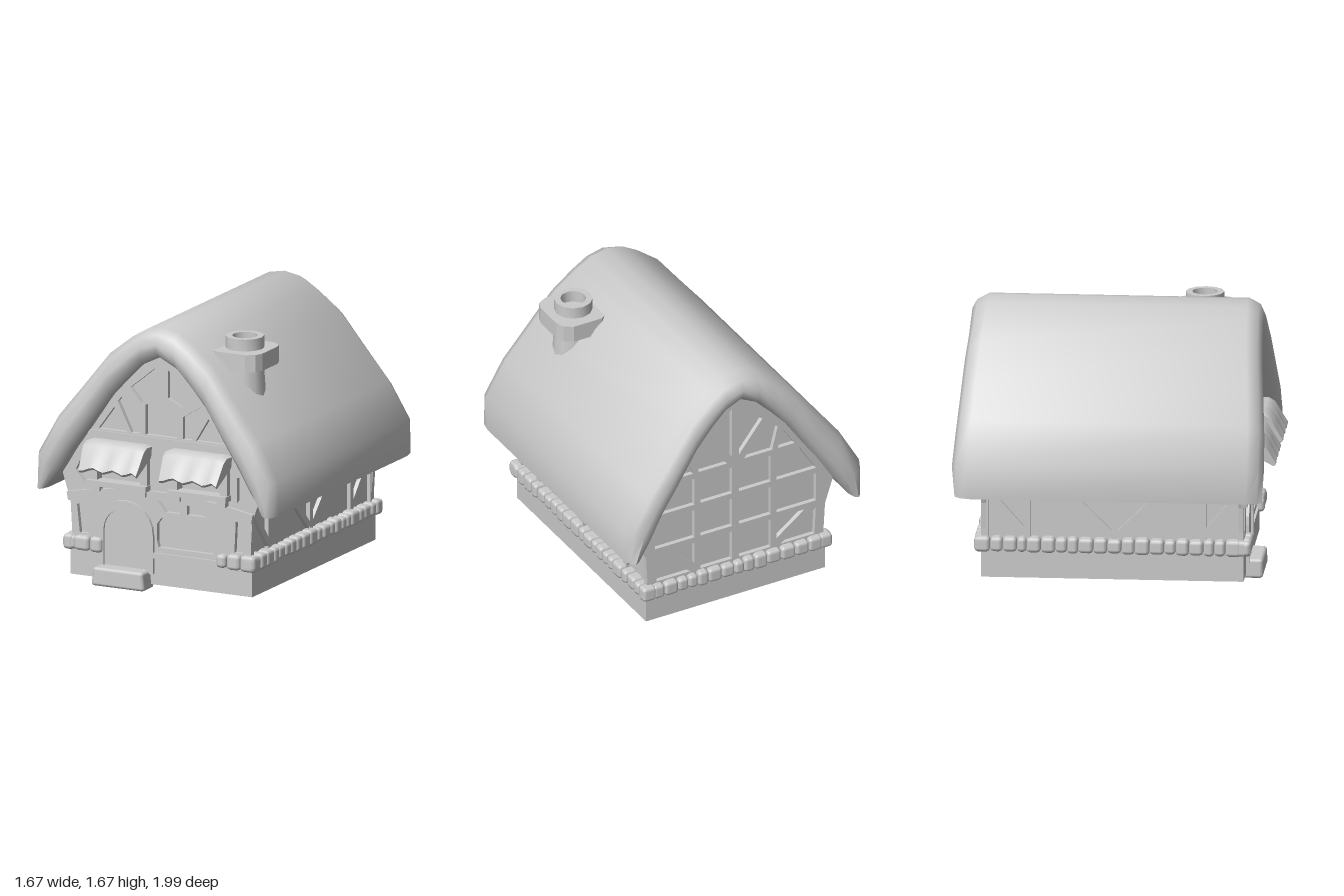
import * as THREE from 'three';
import { toCreasedNormals } from 'three/addons/utils/BufferGeometryUtils.js';
import { RoundedBoxGeometry } from 'three/addons/geometries/RoundedBoxGeometry.js';

const mat = new THREE.MeshStandardMaterial({ color: 0xcccccc });
const thin = new THREE.MeshStandardMaterial({ color: 0xcccccc, side: THREE.DoubleSide });
const vecs = (pts) => pts.map(([x, y]) => new THREE.Vector2(x, y));
const mirror = (pts) => pts.map(([x, y]) => [-x, y]).reverse();

function add(parent, name, geo, x = 0, y = 0, z = 0, material = mat) {
  const m = new THREE.Mesh(geo, material);
  m.name = name;
  m.position.set(x, y, z);
  parent.add(m);
  return m;
}
const box = (parent, name, w, h, d, x, y, z) => add(parent, name, new THREE.BoxGeometry(w, h, d), x, y, z);

// Flat plate with polygon openings, extruded along z
function plate(outline, holes, depth) {
  const s = new THREE.Shape(vecs(outline));
  for (const h of holes) s.holes.push(new THREE.Path(vecs(h)));
  return new THREE.ExtrudeGeometry(s, { depth, bevelEnabled: false, curveSegments: 12 });
}

// Round-headed outline around cx
function arch(cx, r, y0, ySpring, n = 12) {
  const pts = [[cx - r, y0], [cx + r, y0]];
  for (let i = 0; i <= n; i++) {
    const a = (Math.PI * i) / n;
    pts.push([cx + r * Math.cos(a), ySpring + r * Math.sin(a)]);
  }
  return pts;
}

// Thick thatched roof: a rounded closed section swept along the arch
function roofGeometry() {
  // outer x, y, inner x, y, front z, back z
  const half = [
    [0, 1.67, 0, 1.49, 0.88, -0.93], [0.11, 1.65, 0.12, 1.43, 0.88, -0.93],
    [0.21, 1.59, 0.22, 1.33, 0.885, -0.935], [0.36, 1.47, 0.33, 1.21, 0.895, -0.95],
    [0.54, 1.24, 0.48, 0.99, 0.915, -0.97], [0.7, 1.04, 0.58, 0.85, 0.93, -0.985],
    [0.835, 0.8, 0.66, 0.72, 0.935, -1.0], [0.83, 0.575, 0.75, 0.585, 0.925, -0.98],
  ];
  const rows = [...half.slice(1).reverse().map(([a, b, c, ...r]) => [-a, b, -c, ...r]), ...half];
  // thickness fraction, inset from the gable edge, front or back
  const section = [[0, 0.06, 4], [0.2, 0.01, 4], [0.5, 0, 4], [0.82, 0.03, 4], [1, 0.1, 4],
    [1, 0.1, 5], [0.82, 0.03, 5], [0.5, 0, 5], [0.2, 0.01, 5], [0, 0.06, 5]];
  const pos = [], idx = [], n = section.length, last = (rows.length - 1) * n;
  for (const r of rows) {
    for (const [t, inset, k] of section) {
      pos.push(r[2] + (r[0] - r[2]) * t, r[3] + (r[1] - r[3]) * t, r[k] - Math.sign(r[k]) * inset);
    }
  }
  for (let i = 0; i < rows.length - 1; i++) {
    for (let j = 0; j < n; j++) {
      const a = i * n + j, b = i * n + ((j + 1) % n);
      idx.push(a, a + n, b, a + n, b + n, b);
    }
  }
  for (let j = 1; j < n - 1; j++) idx.push(0, j, j + 1, last, last + j + 1, last + j);
  const g = new THREE.BufferGeometry();
  g.setAttribute('position', new THREE.Float32BufferAttribute(pos, 3));
  g.setIndex(idx);
  return toCreasedNormals(g, 0.9);
}

// Drooping thatch awning with a ragged lower edge
function awningGeometry(w) {
  const prof = [[0.78, 0.92], [0.87, 0.925], [0.91, 0.9], [0.945, 0.84], [0.99, 0.765], [0.975, 0.75], [0.9, 0.79], [0.78, 0.86]];
  const s = new THREE.Shape(vecs(prof.map(([z, y]) => [-z, y])));
  const g = new THREE.ExtrudeGeometry(s, { depth: w, steps: 12, bevelEnabled: false });
  g.rotateY(Math.PI / 2).translate(-w / 2, 0, 0);
  const p = g.attributes.position;
  for (let i = 0; i < p.count; i++) {
    const x = p.getX(i), y = p.getY(i), low = THREE.MathUtils.clamp((0.93 - y) / 0.17, 0, 1);
    p.setY(i, y + 0.012 * low * Math.sin(x * 42) - 0.4 * Math.max(0, Math.abs(x) - w * 0.42));
    p.setX(i, x * (1 - 0.07 * low));
  }
  return toCreasedNormals(g, 0.8);
}

export function createModel() {
  const house = new THREE.Group();
  house.name = 'cottage';
  let seed = 7;
  const rand = () => (seed = (seed * 16807) % 2147483647) / 2147483647;

  add(house, 'thatchedRoof', roofGeometry());

  // Hollow foundation
  const rect = (x0, y0, x1, y1) => [[x0, y0], [x1, y0], [x1, y1], [x0, y1]];
  const base = plate(rect(-0.635, -0.8, 0.635, 0.828), [rect(-0.615, -0.78, 0.615, 0.808)], 0.21);
  add(house, 'foundation', base.rotateX(-Math.PI / 2), 0, 0.03, 0);

  // Gable walls: backing sheet plus timber frame with recessed panels
  const right = [[0.62, 0.24], [0.635, 0.5], [0.69, 0.67], [0.62, 0.82], [0.5, 1.0], [0.34, 1.23], [0.13, 1.45]];
  const gable = [...right, [0, 1.51], ...mirror(right)];
  const both = (list) => [...list, ...list.map(mirror)];
  const sheet = new THREE.ShapeGeometry(new THREE.Shape(vecs(gable)));
  const door = arch(-0.25, 0.145, 0.25, 0.345);
  const frontHoles = [
    ...both([
      [[0.045, 1.41], [0.215, 1.27], [0.14, 1.18], [0.045, 1.23]],
      [[0.15, 0.98], [0.21, 0.98], [0.305, 1.17], [0.28, 1.2], [0.15, 1.12]],
      [[0.24, 0.98], [0.44, 0.98], [0.33, 1.13]],
      rect(0.13, 0.66, 0.43, 0.84),
      [[0.53, 0.62], [0.6, 0.7], [0.56, 0.78], [0.53, 0.78]],
      [[0.51, 0.3], [0.57, 0.3], [0.59, 0.48], [0.52, 0.5]],
    ]),
    [[-0.11, 0.98], [0.11, 0.98], [0.11, 1.17], [0, 1.22], [-0.11, 1.17]],
    [[-0.03, 0.31], [-0.02, 0.27], [0.36, 0.27], [0.39, 0.42], [0.36, 0.46], [0, 0.46], [-0.03, 0.42]],
    [[0.03, 0.5], [0.13, 0.5], [0.13, 0.57], [-0.03, 0.57]],
    [[0.18, 0.5], [0.3, 0.5], [0.34, 0.56], [0.18, 0.57]],
    door,
  ];
  const backHoles = both([
    rect(0.025, 0.3, 0.25, 0.5), rect(0.025, 0.54, 0.25, 0.74), rect(0.025, 0.78, 0.25, 0.97),
    rect(0.29, 0.54, 0.57, 0.74), [[0.29, 0.78], [0.57, 0.78], [0.45, 0.97], [0.29, 0.97]],
    [[0.29, 0.35], [0.49, 0.5], [0.29, 0.5]], [[0.32, 0.3], [0.56, 0.3], [0.57, 0.49]],
    [[0.025, 1.05], [0.19, 1.26], [0.025, 1.4]], [[0.06, 1.01], [0.26, 1.01], [0.3, 1.17], [0.23, 1.22]],
    [[0.3, 1.01], [0.42, 1.01], [0.34, 1.13]],
  ]);
  for (const [name, holes, z, turn] of [['front', frontHoles, 0.8, 0], ['back', backHoles, -0.828, Math.PI]]) {
    const wall = new THREE.Group();
    wall.name = name + 'Wall';
    wall.position.z = z;
    wall.rotation.y = turn;
    house.add(wall);
    add(wall, name + 'Infill', sheet, 0, 0, -0.03, thin);
    add(wall, name + 'TimberFrame', plate(gable, holes, 0.03), 0, 0, -0.03);
  }

  // Arched tie beam and low rail on the front
  const curve = [], under = [];
  for (let i = 0; i <= 12; i++) {
    const x = -0.65 + (1.3 * i) / 12, y = 0.63 - 0.17 * x * x;
    curve.push([x, y]);
    under.unshift([x * 0.985, y - 0.055]);
  }
  add(house, 'archedBeam', plate([...curve, ...under].reverse(), [], 0.04), 0, 0, 0.785);
  box(house, 'lowRail', 0.48, 0.035, 0.03, 0.16, 0.218, 0.8);
  box(house, 'tieBeam', 1.02, 0.05, 0.02, 0, 0.945, 0.8);

  // Door, surround and step
  add(house, 'door', plate(arch(-0.25, 0.15, 0.1, 0.345), [], 0.02), 0, 0, 0.785);
  add(house, 'doorSurround', plate(arch(-0.25, 0.2, 0.1, 0.345), [arch(-0.25, 0.145, 0.101, 0.345)], 0.035), 0, 0, 0.785);
  const step = new RoundedBoxGeometry(0.37, 0.12, 0.15, 1, 0.02);
  const sp = step.attributes.position;
  for (let i = 0; i < sp.count; i++) if (sp.getY(i) > 0) sp.setX(i, sp.getX(i) * 0.95);
  add(house, 'doorStep', step, -0.255, 0.06, 0.83);

  // Windows with posts, sill, brackets and awning
  for (const s of [-1, 1]) {
    const w = new THREE.Group();
    w.name = s > 0 ? 'leftWindow' : 'rightWindow';
    w.position.x = s * 0.28;
    house.add(w);
    add(w, 'awning', awningGeometry(0.43));
    box(w, 'sill', 0.41, 0.035, 0.08, 0, 0.645, 0.83);
    for (const e of [-1, 1]) {
      box(w, 'windowPost', 0.05, 0.24, 0.05, e * 0.175, 0.76, 0.815);
      box(w, 'sillBracket', 0.06, 0.04, 0.05, e * 0.16, 0.61, 0.82);
    }
  }

  // Side walls with posts and diagonal braces, given as (z, y) pairs
  const braces = [[0.77, 0.58, 0.55, 0.31], [0.29, 0.58, 0.02, 0.31], [-0.29, 0.58, -0.02, 0.31], [-0.79, 0.58, -0.55, 0.31]];
  const posts = [0.78, 0.55, 0, -0.54, -0.805].map((z) => [z, 0.62, z, 0.22]);
  for (const s of [-1, 1]) {
    const wall = add(house, 'sideInfill', new THREE.PlaneGeometry(1.6, 0.54), s * 0.6, 0.5, -0.014, thin);
    wall.rotation.y = (s * Math.PI) / 2;
    box(house, 'wallPlate', 0.035, 0.06, 1.62, s * 0.608, 0.61, -0.014);
    for (const [z0, y0, z1, y1] of [...posts, ...braces]) {
      const b = box(house, 'sideTimber', 0.035, Math.hypot(z1 - z0, y1 - y0), 0.04, s * 0.608, (y0 + y1) / 2, (z0 + z1) / 2);
      b.rotation.x = Math.atan2(z0 - z1, y0 - y1);
    }
  }

  // Courses of rounded stones; the front has them at the corners only
  function stones(count, x0, z0, x1, z1) {
    const alongX = Math.abs(x1 - x0) > Math.abs(z1 - z0);
    const sizes = Array.from({ length: count }, () => 0.75 + 0.6 * rand());
    const total = sizes.reduce((a, b) => a + b, 0);
    const len = Math.hypot(x1 - x0, z1 - z0);
    let at = 0;
    for (const size of sizes) {
      const w = (size / total) * len, t = (at + w / 2) / len, d = 0.085 + 0.015 * rand();
      const g = new RoundedBoxGeometry(alongX ? w : d, 0.085 + 0.02 * rand(), alongX ? d : w, 1, 0.024);
      add(house, 'foundationStone', g, x0 + (x1 - x0) * t, 0.243, z0 + (z1 - z0) * t);
      at += w;
    }
  }
  for (const s of [-1, 1]) {
    stones(21, s * 0.625, 0.845, s * 0.625, -0.87);
    stones(3, s * 0.67, 0.8, s * 0.4, 0.8);
  }
  stones(14, -0.6, -0.825, 0.6, -0.825);

  // Chimney
  const chimney = new THREE.Group();
  chimney.name = 'chimney';
  chimney.position.set(0.415, 0, 0.48);
  house.add(chimney);
  add(chimney, 'chimneyShaft', new THREE.CylinderGeometry(0.115, 0.135, 0.3, 12), 0, 1.31, 0);
  const q = [[0.175, 0.1], [0.155, 0.155], [0.1, 0.187]];
  const top = [...q, ...mirror(q)];
  const collar = plate([...top, ...top.map(([x, y]) => [-x, -y])], [], 0.11);
  add(chimney, 'chimneyCollar', collar.rotateX(-Math.PI / 2), 0, 1.42, 0);
  const pot = new THREE.LatheGeometry(vecs([[0.12, 1.5], [0.12, 1.605], [0.08, 1.605], [0.08, 1.5]]), 12);
  add(chimney, 'chimneyPot', toCreasedNormals(pot, 0.7), 0, 0, 0, thin);

  return house;
}
